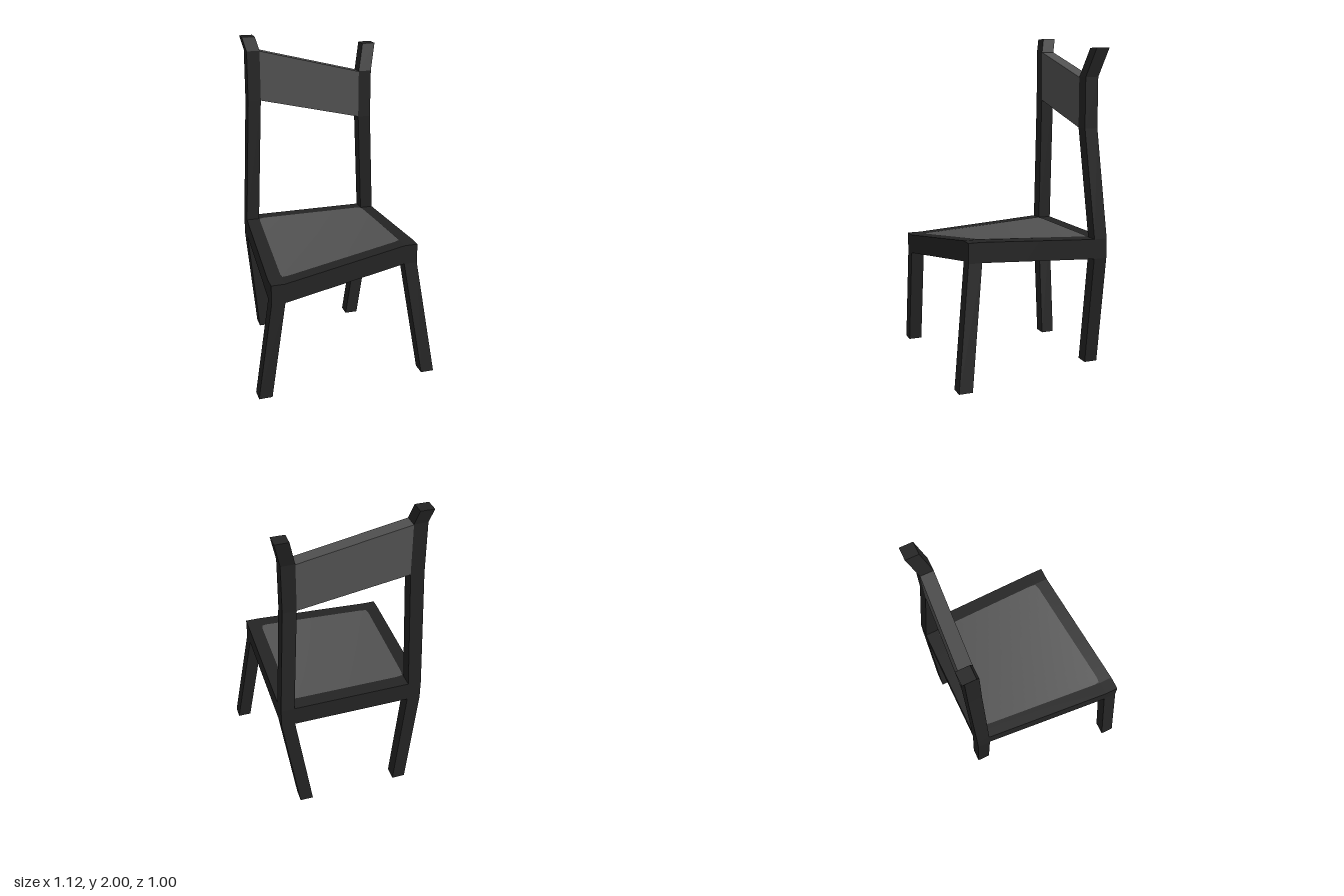
import * as THREE from 'three';

const W = 0.041; // half width of every timber
const H = 0.12;  // depth of the seat rails

// Seat corner joints: centre x, top y, centre z
const joints = {
  frontRight: [-0.433, 0.735, 0.449],
  frontLeft: [0.42, 0.84, 0.36],
  backRight: [-0.379, 0.8, -0.44],
  backLeft: [0.42, 0.8, -0.44],
};

// Square timber through a list of [x, y, z] centres, bottom to top
function timber(path) {
  const n = path.length - 1;
  const geo = new THREE.BoxGeometry(1, 1, 1, 1, n, 1);
  const p = geo.attributes.position;
  for (let i = 0; i < p.count; i++) {
    const [x, y, z] = path[Math.round((p.getY(i) + 0.5) * n)];
    p.setXYZ(i, x + p.getX(i) * 2 * W, y, z + p.getZ(i) * 2 * W);
  }
  const flat = geo.toNonIndexed();
  flat.computeVertexNormals();
  return flat;
}

// Point on a twisted quad, u towards +x and v towards +z, both 0..1
function onQuad([bl, br, fl, fr], u, v) {
  return [0, 1, 2].map((k) =>
    (1 - v) * ((1 - u) * bl[k] + u * br[k]) + v * ((1 - u) * fl[k] + u * fr[k]));
}

// Solid slab under a twisted quad; heights give the depth at the -x and +x ends
function slab(quad, heights = [H, H], seg = 8) {
  const geo = new THREE.BoxGeometry(1, 1, 1, seg, 1, seg);
  const p = geo.attributes.position;
  for (let i = 0; i < p.count; i++) {
    const u = p.getX(i) + 0.5;
    const [x, y, z] = onQuad(quad, u, p.getZ(i) + 0.5);
    const depth = heights[0] + (heights[1] - heights[0]) * u;
    p.setXYZ(i, x, y - (0.5 - p.getY(i)) * depth, z);
  }
  geo.computeVertexNormals();
  return geo;
}

// Thin rounded-corner sheet lying on a twisted quad: a disc pushed out to a rounded square
function roundedSheet(quad, lift) {
  const geo = new THREE.CircleGeometry(1, 120);
  const n = 40;
  const rings = 8;
  const rim = geo.attributes.position;
  const positions = [];
  const index = [];
  const put = (x, z) => {
    const [px, py, pz] = onQuad(quad, (x + 1) / 2, (z + 1) / 2);
    positions.push(px, py + lift, pz);
  };
  put(0, 0);
  for (let j = 1; j <= rings; j++) {
    for (let i = 0; i < 120; i++) {
      const x = rim.getX(i + 1), z = -rim.getY(i + 1);
      const k = (j / rings) / Math.pow(Math.abs(x) ** n + Math.abs(z) ** n, 1 / n);
      put(x * k, z * k);
      const next = (i + 1) % 120;
      const a = 1 + (j - 1) * 120 + i, b = 1 + (j - 1) * 120 + next;
      if (j === 1) index.push(0, a, b);
      else index.push(a - 120, a, b, a - 120, b, b - 120);
    }
  }
  const sheet = new THREE.BufferGeometry();
  sheet.setAttribute('position', new THREE.Float32BufferAttribute(positions, 3));
  sheet.setIndex(index);
  sheet.computeVertexNormals();
  return sheet;
}

export function createModel() {
  const group = new THREE.Group();
  const frame = new THREE.MeshStandardMaterial({ color: 0x242424 });
  const panel = new THREE.MeshStandardMaterial({ color: 0x525252 });
  frame.name = 'black frame';
  panel.name = 'grey panel';

  const add = (name, geo, mat) => {
    const mesh = new THREE.Mesh(geo, mat);
    mesh.name = name;
    group.add(mesh);
  };
  const under = ([x, y, z]) => [x, y - H, z];
  const { frontRight: FR, frontLeft: FL, backRight: BR, backLeft: BL } = joints;

  // Splayed front legs, ending in the seat corners
  add('frontRightLeg', timber([[-0.523, 0, 0.449], under(FR), FR]), frame);
  add('frontLeftLeg', timber([[0.52, 0, 0.457], under(FL), FL]), frame);

  // Back legs running up into the crooked back posts
  add('backRightPost', timber([[-0.313, 0, -0.44], under(BR), BR,
    [-0.345, 1.6, -0.44], [-0.345, 1.915, -0.44], [-0.368, 2, -0.46]]), frame);
  add('backLeftPost', timber([[0.319, 0, -0.44], under(BL), BL,
    [0.375, 1.46, -0.388], [0.375, 1.76, -0.388], [0.415, 1.928, -0.437]]), frame);

  // Seat rails between the corner joints
  const corner = ([x, y, z], sx, sz) => [x + sx * W, y, z + sz * W];
  const crossRail = (a, b) =>
    [corner(a, 1, -1), corner(b, -1, -1), corner(a, 1, 1), corner(b, -1, 1)];
  const sideRail = (back, front) =>
    [corner(back, -1, 1), corner(back, 1, 1), corner(front, -1, -1), corner(front, 1, -1)];
  add('frontRail', slab(crossRail(FR, FL)), frame);
  add('backRail', slab(crossRail(BR, BL)), frame);
  add('rightRail', slab(sideRail(BR, FR)), frame);
  add('leftRail', slab(sideRail(BL, FL)), frame);

  // Twisted seat board and its pad
  const seat = [corner(BR, 1, 1), corner(BL, -1, 1), corner(FR, 1, -1), corner(FL, -1, -1)];
  add('seatBoard', slab(seat, [H, H], 16), frame);
  add('seatPad', roundedSheet(seat, 0.003), panel);

  // Slanted backrest between the posts
  add('backrest', slab([
    [-0.304, 1.913, -0.481], [0.334, 1.758, -0.429],
    [-0.304, 1.913, -0.399], [0.334, 1.758, -0.347],
  ], [0.313, 0.297], 1), panel);

  return group;
}
